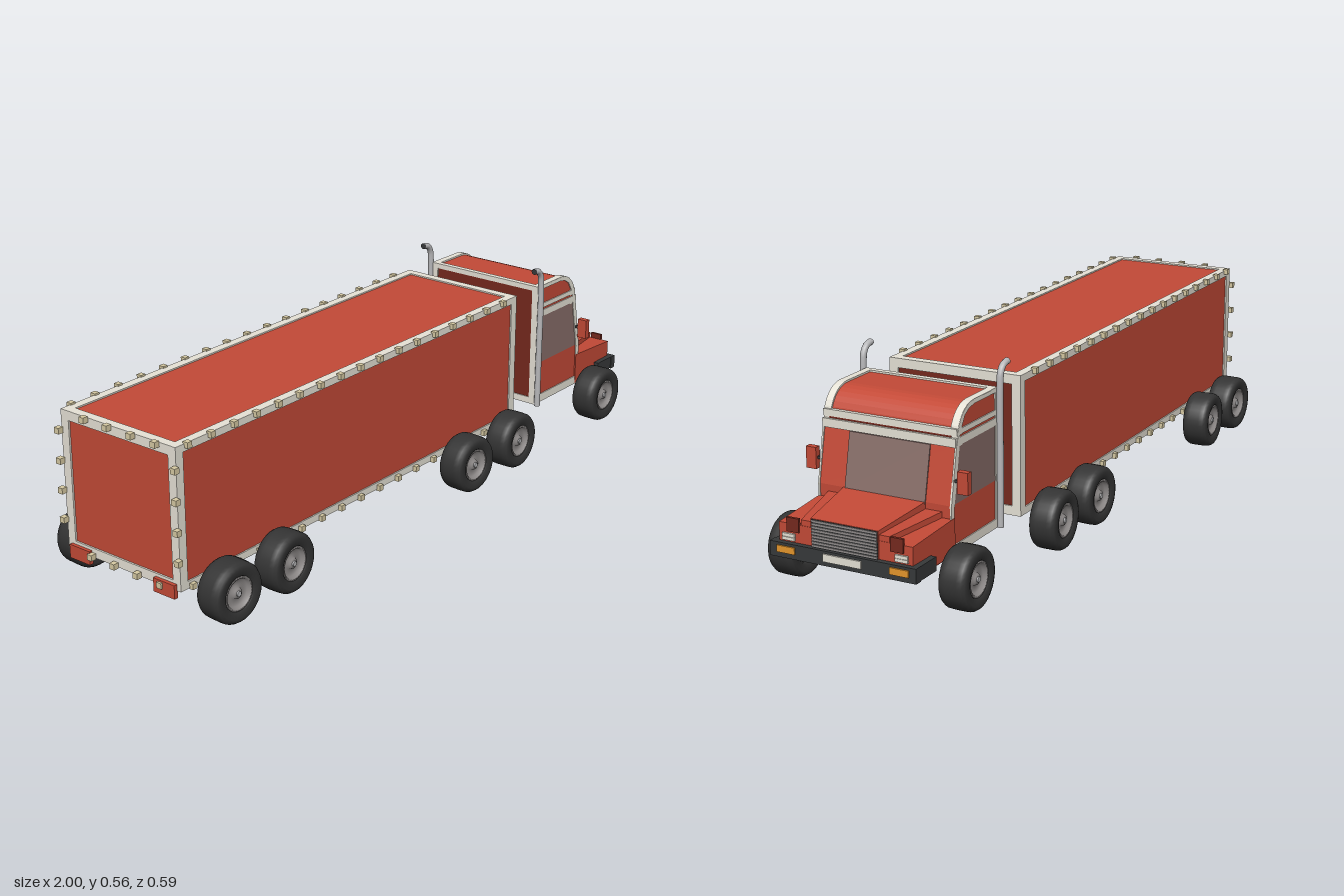
import * as THREE from 'three';

const mat = (name, color) => {
  const m = new THREE.MeshStandardMaterial({ color });
  m.name = name;
  return m;
};

export function createModel() {
  const red = mat('red paint', 0xc44a37), cream = mat('cream trim', 0xece8dc);
  const glass = mat('smoked glass', 0x886e69), tyreMat = mat('tyre rubber', 0x343434);
  const steel = mat('steel', 0xb8b8ba), rimMat = mat('wheel rim', 0x8f8b8a);
  const amber = mat('amber lamp', 0xe6972c), tan = mat('marker lamp', 0xd8cba4);
  const darkRed = mat('dark red', 0x76291e), black = mat('bumper black', 0x37393a);

  const model = new THREE.Group();
  const trailer = new THREE.Group(), cab = new THREE.Group(), wheels = new THREE.Group();
  trailer.name = 'trailer';
  cab.name = 'cab';
  wheels.name = 'wheels';
  trailer.position.z = 0.001;
  cab.position.z = 0.005;
  model.add(trailer, cab, wheels);

  const add = (parent, name, geo, m) => {
    const mesh = new THREE.Mesh(geo, m);
    mesh.name = name;
    parent.add(mesh);
    return mesh;
  };
  // Box given by its limits on each axis
  const box = (parent, name, m, x0, x1, y0, y1, z0, z1) =>
    add(parent, name, new THREE.BoxGeometry(x1 - x0, y1 - y0, z1 - z0)
      .translate((x0 + x1) / 2, (y0 + y1) / 2, (z0 + z1) / 2), m);
  const vecs = pts => pts.map(p => new THREE.Vector2(...p));
  const shapeOf = pts => new THREE.Shape(vecs(pts));
  // Side profile extruded across z
  const slab = (parent, name, m, shape, z0, z1) =>
    add(parent, name, new THREE.ExtrudeGeometry(shape, { depth: z1 - z0, bevelEnabled: false })
      .translate(0, 0, z0), m);
  // Same slab on both sides
  const slabs = (parent, name, m, shape, z0, z1) => {
    slab(parent, name, m, shape, z0, z1);
    slab(parent, name, m, shape, -z1, -z0);
  };

  // Trailer body with dark floor and front wall, and its edge frame
  const X = [-0.984, 0.45], Y = [0.107, 0.493], Z = [-0.198, 0.198], t = 0.026;
  box(trailer, 'trailerBody', red, X[0] + 0.005, X[1] - 0.008, Y[0] + 0.006, Y[1] - 0.004, -0.194, 0.194);
  box(trailer, 'trailerFloor', darkRed, X[0] + 0.01, X[1] - 0.01, Y[0] + 0.003, Y[0] + 0.007, -0.19, 0.19);
  box(trailer, 'trailerFrontWall', darkRed, X[1] - 0.009, X[1] - 0.004, Y[0] + 0.01, Y[1] - 0.01, -0.19, 0.19);
  const edge = (r, i, w = t) => (i ? [r[1] - w, r[1]] : [r[0], r[0] + w]);
  for (const i of [0, 1]) for (const j of [0, 1]) {
    box(trailer, 'lengthRail', cream, ...X, ...edge(Y, i, 0.02), ...edge(Z, j));
    box(trailer, 'crossRail', cream, ...edge(X, i), ...edge(Y, j), ...Z);
    box(trailer, 'cornerPost', cream, ...edge(X, i), ...Y, ...edge(Z, j));
  }

  // Marker lamps along the long edges and round the rear frame
  const lamp = (x, y, z) => box(trailer, 'markerLamp', tan, x - 0.008, x + 0.008, y - 0.008, y + 0.008, z - 0.008, z + 0.008);
  for (const s of [-1, 1]) {
    for (let i = 0; i < 17; i++) for (const y of [0.112, 0.49]) lamp(-0.945 + 0.0825 * i, y, s * 0.201);
    for (const y of [0.19, 0.272, 0.354, 0.437]) lamp(-0.992, y, s * 0.201);
    box(trailer, 'mudFlap', red, -0.994, -0.982, 0.087, 0.125, s * 0.149 - 0.036, s * 0.149 + 0.036);
  }
  for (const z of [-0.108, -0.027, 0.055, 0.137]) for (const y of [0.112, 0.489]) lamp(-0.992, y, z);

  // Cab core with rounded roof nose and raked front
  const roofCurve = (r, n = 8) => Array.from({ length: n + 1 }, (_, i) => {
    const a = Math.PI / 2 * (1 - i / n);
    return [0.685 + (0.08 - r) * Math.cos(a), 0.41 + (0.08 - r) * Math.sin(a)];
  });
  slab(cab, 'cabBody', red, shapeOf([[0.567, 0.117], [0.795, 0.117], [0.798, 0.245],
    [0.768, 0.39], ...roofCurve(0.004).reverse(), [0.567, 0.486]]), -0.193, 0.193);
  box(cab, 'cabRearWall', darkRed, 0.563, 0.568, 0.12, 0.484, -0.188, 0.188);
  box(cab, 'cabFloor', darkRed, 0.566, 0.974, 0.113, 0.1175, -0.191, 0.191);

  // Trim outline with openings for roof side, gap, window and door
  const trim = shapeOf([[0.56, 0.115], [0.8, 0.115], [0.8, 0.245], [0.772, 0.39],
    ...roofCurve(0).reverse(), [0.56, 0.49]]);
  trim.holes = [
    [[0.574, 0.433], [0.746, 0.433], [0.728, 0.462], [0.705, 0.475], [0.68, 0.479], [0.574, 0.479]],
    [[0.574, 0.14], [0.788, 0.14], [0.784, 0.242], [0.756, 0.392], [0.574, 0.392]],
    [[0.574, 0.412], [0.754, 0.412], [0.753, 0.419], [0.574, 0.419]],
  ].map(pts => new THREE.Path(vecs(pts)));
  slabs(cab, 'sideTrim', cream, trim, 0.191, 0.196);
  slabs(cab, 'sideWindow', glass, shapeOf([[0.574, 0.245], [0.782, 0.245], [0.756, 0.392], [0.574, 0.392]]), 0.19, 0.1945);
  // Roof edge strips following the curve
  slabs(cab, 'roofRim', cream, shapeOf([[0.56, 0.491], ...roofCurve(-0.001), ...roofCurve(0.01).reverse(), [0.56, 0.48]]), 0.1745, 0.1955);
  box(cab, 'roofRearStrip', cream, 0.56, 0.577, 0.476, 0.491, -0.195, 0.195);
  box(cab, 'rearSill', cream, 0.56, 0.572, 0.115, 0.135, -0.195, 0.195);
  for (const s of [-1, 1]) box(cab, 'rearPost', cream, 0.56, 0.572, 0.115, 0.49, s * 0.185 - 0.01, s * 0.185 + 0.01);
  // Bands above the windscreen with a dark gap between
  box(cab, 'lowerVisorBand', cream, 0.74, 0.774, 0.389, 0.412, -0.195, 0.195);
  box(cab, 'visorGap', darkRed, 0.74, 0.767, 0.411, 0.418, -0.178, 0.178);
  box(cab, 'upperVisorBand', cream, 0.74, 0.768, 0.417, 0.435, -0.195, 0.195);
  slab(cab, 'windscreen', glass, shapeOf([[0.795, 0.24], [0.802, 0.24], [0.772, 0.387], [0.765, 0.387]]), -0.121, 0.115);

  // Fenders, shoulder and hood narrowing towards the nose
  const taper = (mesh, x0, x1, amount) => {
    const p = mesh.geometry.attributes.position;
    for (let i = 0; i < p.count; i++)
      p.setZ(i, p.getZ(i) * (1 - amount * (p.getX(i) - x0) / (x1 - x0)));
    mesh.geometry.computeVertexNormals();
  };
  taper(slab(cab, 'fenders', red, shapeOf([[0.785, 0.117], [0.98, 0.117], [0.98, 0.2], [0.785, 0.212]]), -0.197, 0.197), 0.785, 0.98, 0.02);
  taper(slab(cab, 'hoodShoulder', red, shapeOf([[0.785, 0.19], [0.979, 0.18], [0.979, 0.215], [0.785, 0.228]]), -0.17, 0.17), 0.785, 0.979, 0.25);
  taper(slab(cab, 'hood', red, shapeOf([[0.785, 0.15], [0.982, 0.15], [0.982, 0.225], [0.785, 0.247]]), -0.122, 0.122), 0.785, 0.982, 0.2);

  // Grille with slats
  box(cab, 'grille', black, 0.98, 0.985, 0.15, 0.224, -0.096, 0.093);
  for (let i = 0; i < 9; i++) {
    const y = 0.154 + i * 0.008;
    box(cab, 'grilleSlat', rimMat, 0.984, 0.987, y, y + 0.005, -0.096, 0.093);
  }

  // Bumper and plate
  box(cab, 'bumper', black, 0.974, 0.995, 0.113, 0.152, -0.21, 0.212);
  box(cab, 'numberPlate', cream, 0.994, 0.999, 0.125, 0.145, -0.056, 0.054);

  // Exhaust path with a backward bend at the top
  const pipePath = new THREE.CatmullRomCurve3([[0.56, 0.115], [0.56, 0.3], [0.56, 0.5], [0.556, 0.53],
    [0.543, 0.546], [0.52, 0.551]].map(([x, y]) => new THREE.Vector3(x, y, 0)));

  for (const s of [-1, 1]) {
    const zbox = (name, m, x0, x1, y0, y1, a, b) =>
      box(cab, name, m, x0, x1, y0, y1, Math.min(s * a, s * b), Math.max(s * a, s * b));
    zbox('bumperEnd', black, 0.9, 0.98, 0.115, 0.152, 0.19, 0.21);
    zbox('turnLamp', amber, 0.994, 0.999, 0.127, 0.145, 0.137, 0.19);
    zbox('headlampLower', cream, 0.979, 0.986, 0.157, 0.1655, 0.145, 0.181);
    zbox('headlampUpper', cream, 0.979, 0.986, 0.1665, 0.175, 0.145, 0.181);
    zbox('fenderVent', darkRed, 0.976, 0.984, 0.18, 0.217, 0.132, 0.168);
    zbox('mirror', red, 0.772, 0.79, 0.277, 0.335, 0.207, 0.237);
    zbox('mirrorArm', black, 0.775, 0.783, 0.303, 0.31, 0.19, 0.21);
    const pipe = add(cab, 'exhaustPipe', new THREE.TubeGeometry(pipePath, 40, 0.009, 12), steel);
    pipe.position.z = s * 0.204 + 0.002;
    const cap = add(cab, 'exhaustCap', new THREE.CircleGeometry(0.009, 12).rotateY(-Math.PI / 2), black);
    cap.position.set(0.52, 0.551, pipe.position.z);
  }

  // Wheels: lathed tyre and dished rim
  const lathe = pts => new THREE.LatheGeometry(vecs(pts), 32).rotateX(Math.PI / 2);
  const tyreGeo = lathe([[0.044, -0.03], [0.05, -0.037], [0.068, -0.039], [0.077, -0.036], [0.082, -0.028],
    [0.083, -0.015], [0.083, 0.015], [0.082, 0.028], [0.077, 0.036], [0.068, 0.039], [0.05, 0.037], [0.044, 0.03]]);
  const rimGeo = lathe([[0, -0.02], [0.046, -0.028], [0.047, 0], [0.047, 0.034], [0.041, 0.034], [0.037, 0.024],
    [0.018, 0.02], [0.014, 0.03], [0, 0.031]]);
  const hubGeo = new THREE.CylinderGeometry(0.007, 0.007, 0.008, 12).rotateX(Math.PI / 2).translate(0, 0, 0.031);
  [-0.866, -0.658, 0.14, 0.362, 0.832].forEach((x, i) => {
    for (const s of [-1, 1]) {
      const wheel = new THREE.Group();
      wheel.name = 'wheel';
      add(wheel, 'tyre', tyreGeo, tyreMat);
      add(wheel, 'rim', rimGeo, rimMat);
      add(wheel, 'hub', hubGeo, steel);
      wheel.position.set(x, 0.083, s * 0.251);
      wheel.rotation.y = (s > 0 ? 0 : Math.PI) + [-0.05, 0.03, -0.05, 0.02, 0][i];
      wheels.add(wheel);
    }
  });

  return model;
}
